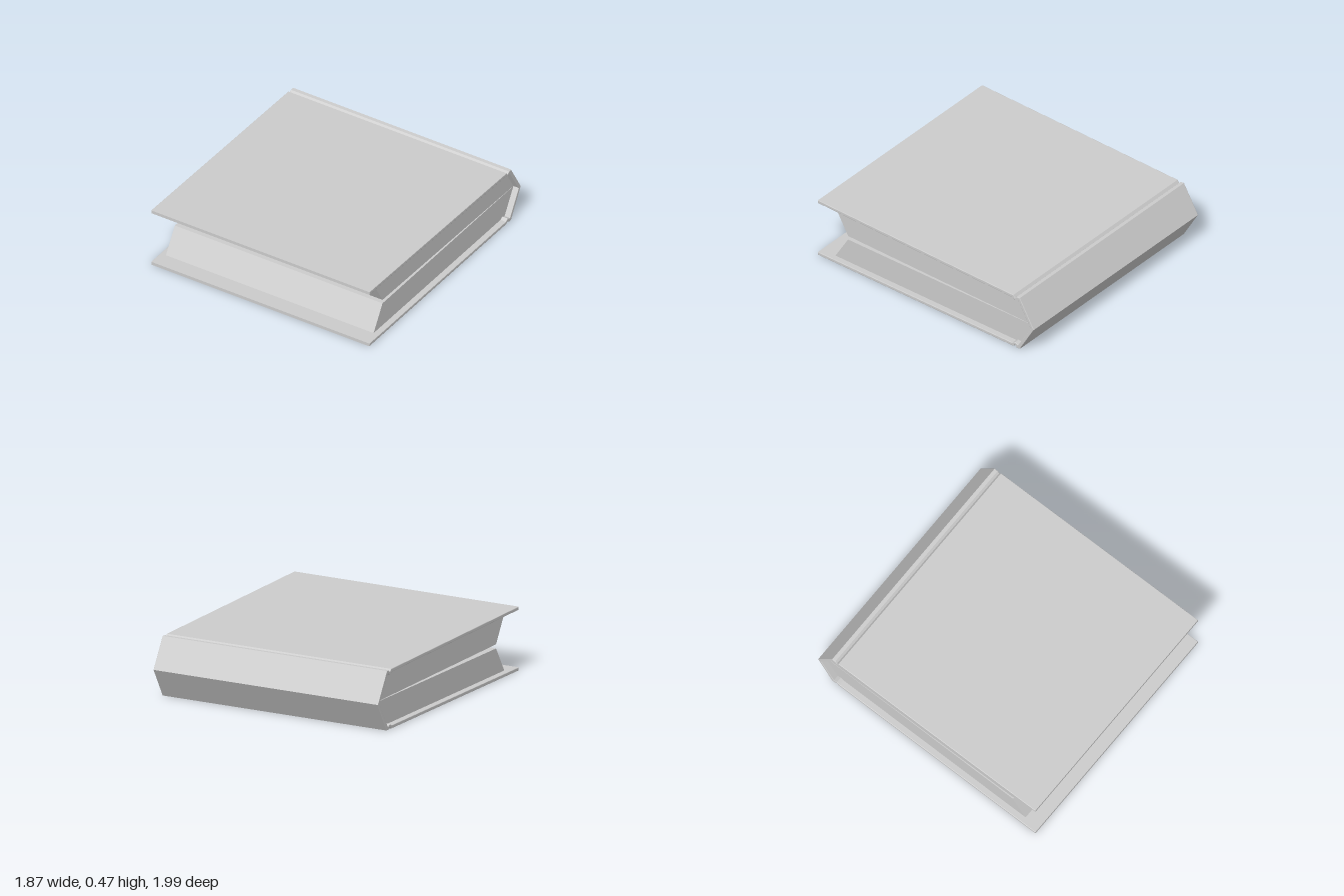
import * as THREE from 'three';

const material = new THREE.MeshStandardMaterial({ color: 0xcccccc });

// Extrudes a [z, y] side profile across the width, centred on x = 0
function slab(name, profile, width, bevel) {
  const shape = new THREE.Shape(profile.map(([z, y]) => new THREE.Vector2(z, y)));
  const geometry = new THREE.ExtrudeGeometry(shape, {
    depth: width - 2 * bevel,
    bevelEnabled: bevel > 0,
    bevelSize: bevel,
    bevelThickness: bevel,
    bevelOffset: -bevel,
    bevelSegments: 2,
  });
  geometry.translate(0, 0, bevel - width / 2);
  geometry.rotateY(-Math.PI / 2);
  const mesh = new THREE.Mesh(geometry, material);
  mesh.name = name;
  return mesh;
}

export function createModel() {
  const book = new THREE.Group();
  book.name = 'book';

  // Cover: two boards, hinge grooves and a pointed spine in one sheet
  const outer = [
    [0.978, 0.467], [-0.795, 0.437], [-0.81, 0.418], [-0.825, 0.434], [-0.853, 0.435],
    [-0.98, 0.217],
    [-0.853, 0], [-0.825, 0.001], [-0.81, 0.017], [-0.795, 0], [0.978, 0],
  ];
  const inner = [
    [0.978, 0.024], [-0.785, 0.024], [-0.81, 0.038], [-0.838, 0.025],
    [-0.952, 0.217],
    [-0.838, 0.41], [-0.81, 0.397], [-0.785, 0.413], [0.978, 0.443],
  ];
  book.add(slab('cover', [...outer, ...inner], 1.83, 0.004));

  // Page blocks: slanted fore-edges, parting toward the front
  book.add(slab('upperPages', [
    [0.857, 0.444], [0.74, 0.242], [-0.958, 0.218], [-0.838, 0.414],
  ], 1.74, 0));
  book.add(slab('lowerPages', [
    [0.857, 0.02], [0.74, 0.212], [-0.958, 0.216], [-0.838, 0.02],
  ], 1.74, 0));

  // The book lies slightly turned
  book.rotation.y = 0.019;
  const model = new THREE.Group();
  model.add(book);
  return model;
}
